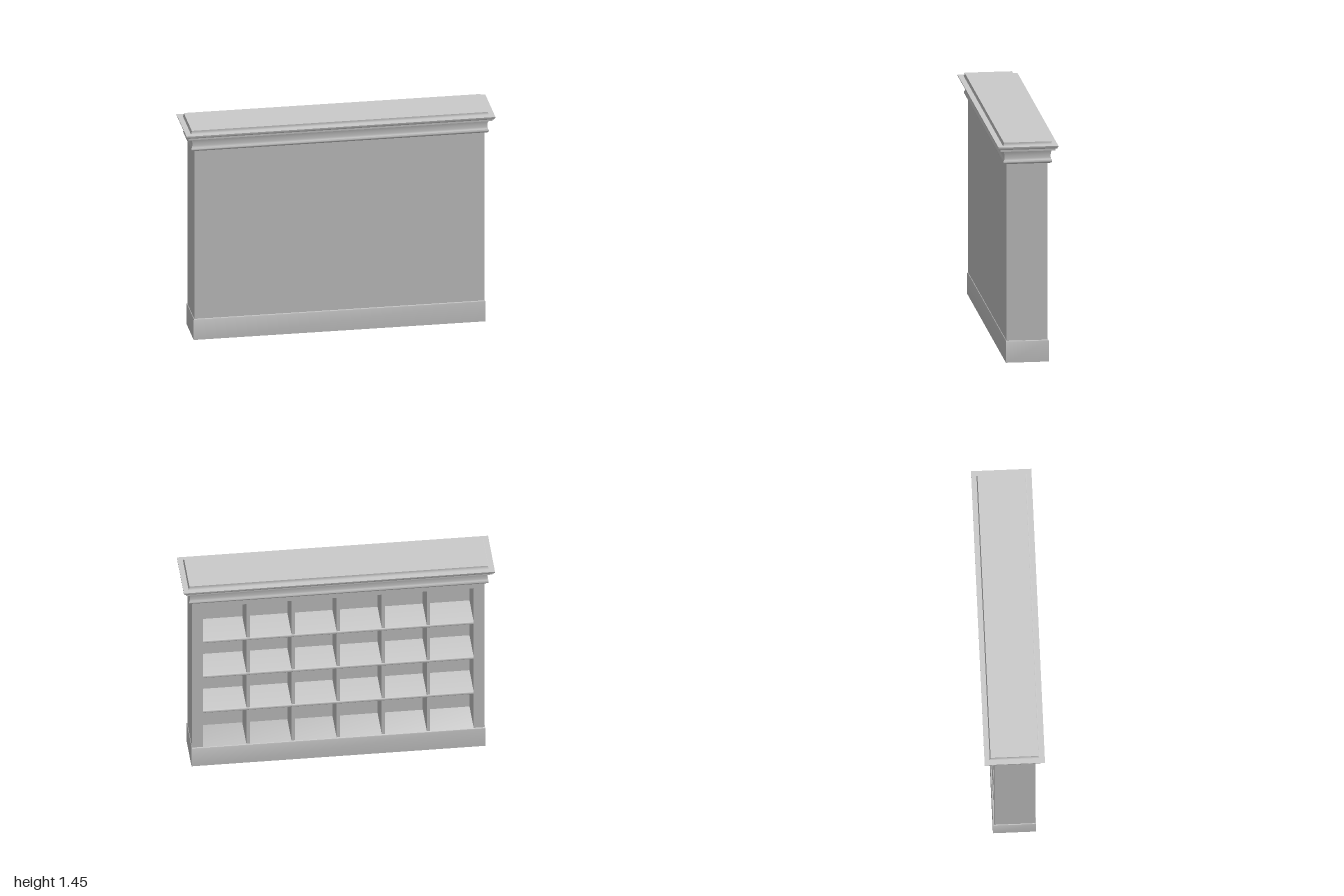
import * as THREE from 'three';
import { toCreasedNormals } from 'three/addons/utils/BufferGeometryUtils.js';

const material = new THREE.MeshStandardMaterial({ color: 0xcccccc });

// Half sizes of the cabinet carcass, and the open cubby area at the back
const HX = 0.94, HZ = 0.133, BACK = -0.129;
const FLOOR = 0.143, CEILING = 1.26, TOP = 1.33;
const OPEN_X = 0.87, PANEL_Z = 0.1;
const COLUMNS = 6, ROWS = 4;

function addMesh(parent, name, geometry) {
  const mesh = new THREE.Mesh(geometry, material);
  mesh.name = name;
  parent.add(mesh);
  return mesh;
}

// Box given by its extents on each axis
function addBox(parent, name, [x0, x1], [y0, y1], [z0, z1]) {
  const mesh = addMesh(parent, name, new THREE.BoxGeometry(x1 - x0, y1 - y0, z1 - z0));
  mesh.position.set((x0 + x1) / 2, (y0 + y1) / 2, (z0 + z1) / 2);
  return mesh;
}

// Moulding with mitred corners: [overhang, height] profile wrapped round the carcass, closed at both ends
function mitredMoulding(profile) {
  const positions = [];
  const rings = profile.map(([o, y]) => {
    const x = HX + o, z = HZ + o;
    return [[-x, y, z], [x, y, z], [x, y, -z], [-x, y, -z]];
  });
  const quad = (a, b, c, d) => positions.push(...a, ...b, ...c, ...a, ...c, ...d);
  for (let i = 0; i < rings.length - 1; i++) {
    for (let k = 0; k < 4; k++) {
      const n = (k + 1) % 4;
      quad(rings[i][k], rings[i][n], rings[i + 1][n], rings[i + 1][k]);
    }
  }
  const bottom = rings[0], top = rings[rings.length - 1];
  quad(bottom[3], bottom[2], bottom[1], bottom[0]);
  quad(top[0], top[1], top[2], top[3]);
  const geometry = new THREE.BufferGeometry();
  geometry.setAttribute('position', new THREE.Float32BufferAttribute(positions, 3));
  geometry.computeVertexNormals();
  return toCreasedNormals(geometry, 0.6);
}

// Shelf board with a rounded nose at the open side
function shelfGeometry(thickness, noseZ, rearZ, width) {
  const r = thickness / 2;
  const shape = new THREE.Shape();
  shape.moveTo(rearZ, -r);
  shape.lineTo(rearZ, r);
  shape.lineTo(noseZ + r, r);
  shape.absarc(noseZ + r, 0, r, Math.PI / 2, Math.PI * 1.5, false);
  const geometry = new THREE.ExtrudeGeometry(shape, { depth: width, bevelEnabled: false, curveSegments: 8 });
  geometry.translate(0, 0, -width / 2);
  geometry.rotateY(-Math.PI / 2); // profile x becomes z, extrusion runs along x
  return toCreasedNormals(geometry, 0.6);
}

export function createModel() {
  const model = new THREE.Group();
  model.name = 'cubbyCabinet';

  // Plinth with a softened top edge
  addMesh(model, 'base', mitredMoulding([
    [0.005, 0], [0.005, 0.136], [0.003, 0.141], [0, FLOOR],
  ]));

  // Carcass: closed front, two side posts, header
  const carcass = new THREE.Group();
  carcass.name = 'carcass';
  model.add(carcass);
  addBox(carcass, 'frontPanel', [-HX, HX], [FLOOR, TOP], [PANEL_Z, HZ]);
  for (const [name, s] of [['leftSide', 1], ['rightSide', -1]]) {
    const xs = [s * OPEN_X, s * HX].sort((a, b) => a - b);
    addBox(carcass, name, xs, [FLOOR, TOP], [BACK, PANEL_Z]);
  }
  addBox(carcass, 'header', [-OPEN_X, OPEN_X], [CEILING, TOP], [BACK, PANEL_Z]);

  // Shelves and upright dividers of the cubbies
  const cubbies = new THREE.Group();
  cubbies.name = 'cubbies';
  model.add(cubbies);
  const shelf = shelfGeometry(0.022, BACK - 0.004, PANEL_Z, OPEN_X * 2);
  for (let i = 1; i < ROWS; i++) {
    const y = FLOOR + (CEILING - FLOOR) * i / ROWS;
    addMesh(cubbies, 'shelf' + i, shelf).position.y = y;
  }
  for (let i = 1; i < COLUMNS; i++) {
    const x = -OPEN_X + 2 * OPEN_X * i / COLUMNS;
    addBox(cubbies, 'divider' + i, [x - 0.011, x + 0.011], [FLOOR, CEILING], [BACK + 0.002, PANEL_Z]);
  }

  // Cornice: bead, cove, stepped overhanging lip and raised top board
  addMesh(model, 'cornice', mitredMoulding([
    [0, 1.308], [0.016, 1.308], [0.022, 1.314], [0.024, 1.322], [0.022, 1.329],
    [0.018, 1.334], [0.016, 1.345], [0.016, 1.365], [0.018, 1.38], [0.022, 1.395],
    [0.044, 1.395], [0.044, 1.408], [0.053, 1.41], [0.06, 1.422], [0.06, 1.428],
    [0.026, 1.428], [0.022, 1.434], [0.02, 1.442], [0.02, 1.45],
  ]));

  return model;
}
